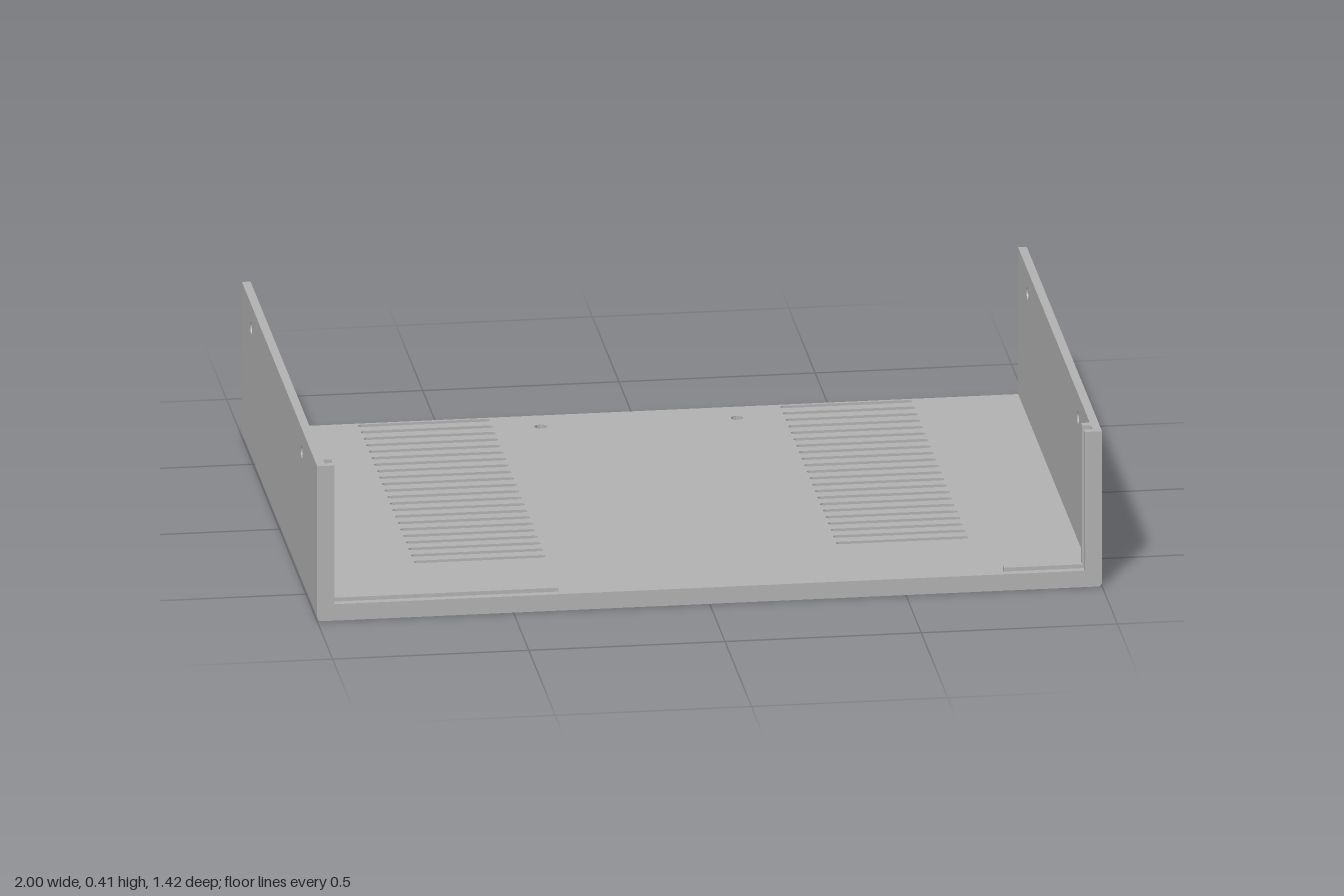
import * as THREE from 'three';

const T = 0.022;        // sheet thickness
const H = 0.415;        // wall height
const D = 0.71;         // half depth
const R = 0.013;        // outer bottom edge radius

function rectShape(x0, y0, x1, y1) {
  const s = new THREE.Shape();
  s.moveTo(x0, y0);
  s.lineTo(x1, y0);
  s.lineTo(x1, y1);
  s.lineTo(x0, y1);
  s.closePath();
  return s;
}

function roundHole(x, y, r) {
  const p = new THREE.Path();
  p.absarc(x, y, r, 0, Math.PI * 2, true);
  return p;
}

// Horizontal slot with round ends
function slotHole(x0, x1, y, r) {
  const p = new THREE.Path();
  p.absarc(x1 - r, y, r, -Math.PI / 2, Math.PI / 2, false);
  p.absarc(x0 + r, y, r, Math.PI / 2, Math.PI * 1.5, false);
  p.closePath();
  return p;
}

const extrude = (shape, depth, curveSegments = 8) =>
  new THREE.ExtrudeGeometry(shape, { depth, bevelEnabled: false, curveSegments });

export function createModel() {
  const model = new THREE.Group();
  model.name = 'chassis';
  const grey = new THREE.MeshStandardMaterial({ color: 0xb2b2b2 });
  grey.name = 'grey';

  const add = (name, geometry) => {
    const mesh = new THREE.Mesh(geometry, grey);
    mesh.name = name;
    model.add(mesh);
    return mesh;
  };
  const addBox = (name, x0, x1, y0, y1, z0, z1) =>
    add(name, new THREE.BoxGeometry(x1 - x0, y1 - y0, z1 - z0))
      .position.set((x0 + x1) / 2, (y0 + y1) / 2, (z0 + z1) / 2);

  // Floor with two banks of vent slots and two screw holes
  const floor = rectShape(-1 + T, -D, 1 - T, D);
  for (let i = 0; i < 22; i++) {
    const z = -0.692 + i * 0.0499;
    floor.holes.push(slotHole(0.37, 0.706, -z, 0.0095), slotHole(-0.706, -0.37, -z, 0.0095));
  }
  for (const x of [-0.25, 0.25]) floor.holes.push(roundHole(x, 0.625, 0.016));
  add('floor', extrude(floor, T, 6).rotateX(-Math.PI / 2));

  for (const side of [-1, 1]) {
    const label = side > 0 ? 'left' : 'right';

    // Side wall with two screw holes
    const wall = rectShape(-D, T, D, H);
    for (const z of [0.42, -0.535]) wall.holes.push(roundHole(-z, 0.352, 0.016));
    add(label + 'Wall', extrude(wall, T, 16).rotateY(Math.PI / 2))
      .position.x = side > 0 ? 1 - T : -1;

    // Rounded bottom edge joining wall and floor
    const edge = new THREE.Shape();
    edge.moveTo(side * (1 - T), 0);
    edge.lineTo(side * (1 - R), 0);
    edge.quadraticCurveTo(side, 0, side, R);
    edge.lineTo(side, T);
    edge.lineTo(side * (1 - T), T);
    edge.closePath();
    add(label + 'BottomEdge', extrude(edge, 2 * D)).position.z = -D;

    // Upright front lip and the rib behind it, leaving a panel groove
    const xs = [side * (1 - T), side * (1 - 2 * T)].sort((a, b) => a - b);
    addBox(label + 'FrontLip', xs[0], xs[1], T, H, 0.69, D);
    addBox(label + 'GrooveRib', xs[0], xs[1], T, H, 0.64, 0.661);
  }

  // Floor lip and the short rails that hold the panel
  addBox('frontLip', -1 + 2 * T, 1 - 2 * T, T, 2 * T, 0.69, D);
  addBox('longRail', -1 + 2 * T, -0.378, T, 2 * T, 0.64, 0.661);
  addBox('shortRail', 0.757, 1 - 2 * T, T, 2 * T, 0.64, 0.661);

  return model;
}
